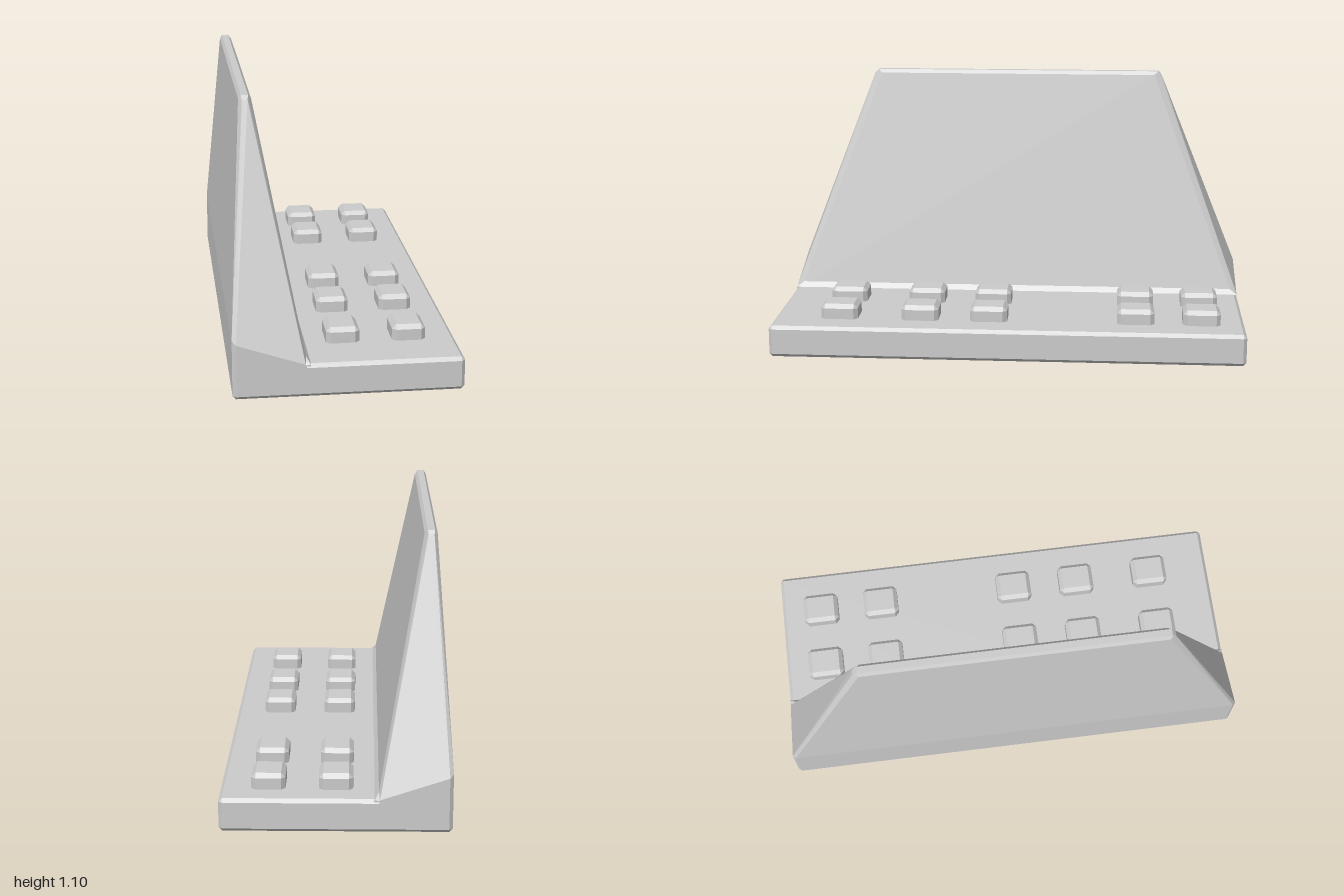
import * as THREE from 'three';
import { ConvexGeometry } from 'three/addons/geometries/ConvexGeometry.js';

const material = new THREE.MeshStandardMaterial({ color: 0xcccccc, flatShading: true });

function addMesh(parent, name, geometry) {
  const mesh = new THREE.Mesh(geometry, material);
  mesh.name = name;
  parent.add(mesh);
  return mesh;
}

// Box with every edge chamfered by c, centred on x and z, standing on y = 0
function chamferBox(w, h, d, c) {
  const points = [];
  for (const sx of [-1, 1]) for (const sy of [-1, 1]) for (const sz of [-1, 1])
    for (const cut of [[0, c, c], [c, 0, c], [c, c, 0]])
      points.push(new THREE.Vector3(
        sx * (w / 2 - cut[0]), h / 2 + sy * (h / 2 - cut[1]), sz * (d / 2 - cut[2])));
  return new ConvexGeometry(points);
}

// Convex solid from one half's corner points, mirrored in x
function mirroredHull(half) {
  return new ConvexGeometry(half.flatMap(([x, y, z]) =>
    [new THREE.Vector3(x, y, z), new THREE.Vector3(-x, y, z)]));
}

export function createModel() {
  const model = new THREE.Group();
  model.name = 'wallWithStuds';
  const body = new THREE.Group();
  body.name = 'body';
  body.rotation.y = Math.PI / 4; // the block stands diagonally
  model.add(body);

  // Long flat base slab
  addMesh(body, 'base', chamferBox(1.966, 0.133, 0.89, 0.014));

  // Tapered upright wall along the rear edge, with narrow chamfers
  addMesh(body, 'backWall', mirroredHull([
    [0.983, 0.1, -0.165], [0.983, 0.1, -0.431], [0.969, 0.1, -0.445],  // foot
    [0.983, 0.133, -0.168], [0.96, 0.133, -0.16],
    [0.983, 0.222, -0.431], [0.969, 0.235, -0.445],                    // rear fold
    [0.605, 1.08, -0.335], [0.637, 1.08, -0.35],                       // crown
    [0.637, 1.08, -0.372], [0.615, 1.08, -0.385],
    [0.622, 1.095, -0.347], [0.622, 1.095, -0.375],
  ]));

  // Sloped bead where the wall meets the base
  addMesh(body, 'wallFillet', mirroredHull([
    [0.983, 0.125, -0.148], [0.983, 0.133, -0.148],
    [0.95, 0.156, -0.165], [0.983, 0.125, -0.2], [0.95, 0.156, -0.2],
  ]));

  // Two rows of raised studs in unevenly spaced columns
  const studGeometry = chamferBox(0.155, 0.085, 0.132, 0.017);
  for (const x of [-0.707, -0.368, -0.08, 0.532, 0.805])
    for (const z of [0, 0.26])
      addMesh(body, 'stud', studGeometry).position.set(x, 0.11, z);

  return model;
}
